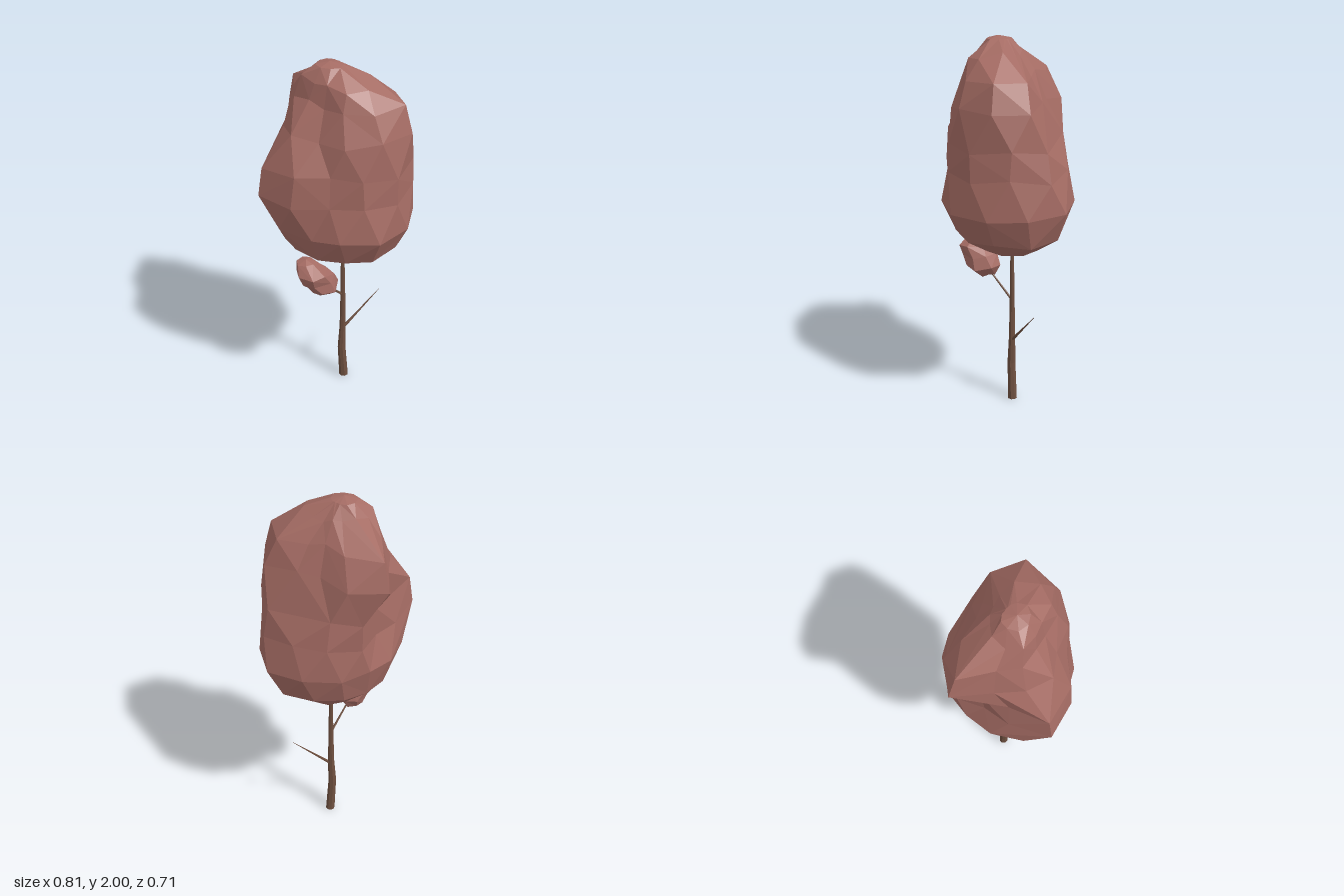
import * as THREE from 'three';

const V = (x, y, z) => new THREE.Vector3(x, y, z);

// Small seeded generator for irregular facets
function seeded(seed) {
  return () => {
    seed = (seed * 16807) % 2147483647;
    return seed / 2147483647 - 0.5;
  };
}

// Skin a stack of closed loops (bottom to top), closed by an end point at each end.
// Each quad is split along the diagonal that bulges outwards.
function loft(rings, bottom, top) {
  const pos = [];
  const tri = (...pts) => pts.forEach((p) => pos.push(p.x, p.y, p.z));
  const centre = bottom.clone().lerp(top, 0.5);
  const bulge = (p, q) => p.clone().lerp(q, 0.5).distanceTo(centre);
  const n = rings[0].length;
  for (let i = 0; i < n; i++) {
    const k = (i + 1) % n;
    tri(bottom, rings[0][i], rings[0][k]);
    for (let j = 0; j < rings.length - 1; j++) {
      const a = rings[j][i], b = rings[j][k], c = rings[j + 1][i], d = rings[j + 1][k];
      if (bulge(b, c) > bulge(a, d)) { tri(a, c, b); tri(b, c, d); }
      else { tri(a, c, d); tri(a, d, b); }
    }
    const last = rings[rings.length - 1];
    tri(top, last[k], last[i]);
  }
  const geo = new THREE.BufferGeometry();
  geo.setAttribute('position', new THREE.Float32BufferAttribute(pos, 3));
  geo.computeVertexNormals();
  return geo;
}

// Horizontal ellipse of n points
function ellipse(n, x, y, z, rx, rz, rand = () => 0) {
  return Array.from({ length: n }, (_, i) => {
    const a = (i / n) * Math.PI * 2 + rand() * 0.3;
    return V(x + Math.cos(a) * rx, y + rand() * 0.025, z + Math.sin(a) * rz);
  });
}

function part(name, geometry, material) {
  const mesh = new THREE.Mesh(geometry, material);
  mesh.name = name;
  return mesh;
}

export function createModel() {
  const tree = new THREE.Group();
  tree.name = 'tree';
  const leaf = new THREE.MeshStandardMaterial({ color: 0xa56c64, flatShading: true });
  const bark = new THREE.MeshStandardMaterial({ color: 0x6f5040, flatShading: true });

  // Crown: height, turn in degrees, then radii every 30 degrees from +x towards +z.
  // The upper back has a narrow lobe (240 degrees) beside a deep hollow (300-330).
  const crown = [
    [0.92, 0, 0.22, 0.20, 0.16, 0.12, 0.11, 0.12, 0.13, 0.12, 0.12, 0.16, 0.19, 0.21],
    [1.02, 6, 0.35, 0.33, 0.29, 0.27, 0.25, 0.26, 0.27, 0.25, 0.24, 0.27, 0.31, 0.35],
    [1.18, 10, 0.405, 0.395, 0.38, 0.335, 0.30, 0.34, 0.33, 0.30, 0.29, 0.32, 0.37, 0.42],
    [1.35, -8, 0.395, 0.39, 0.375, 0.34, 0.29, 0.35, 0.41, 0.29, 0.24, 0.30, 0.325, 0.35],
    [1.50, -8, 0.365, 0.385, 0.375, 0.33, 0.27, 0.33, 0.385, 0.26, 0.245, 0.31, 0.30, 0.285],
    [1.68, 6, 0.355, 0.385, 0.34, 0.28, 0.22, 0.27, 0.255, 0.26, 0.385, 0.31, 0.21, 0.24],
    [1.82, 6, 0.29, 0.345, 0.285, 0.22, 0.16, 0.16, 0.20, 0.22, 0.34, 0.22, 0.15, 0.17],
    [1.92, 0, 0.12, 0.165, 0.215, 0.195, 0.14, 0.14, 0.165, 0.145, 0.12, 0.09, 0.085, 0.09],
    [1.985, 0, 0.02, 0.03, 0.05, 0.08, 0.09, 0.10, 0.10, 0.08, 0.06, 0.035, 0.02, 0.02],
  ];
  const rand = seeded(23);
  const crownRings = crown.map(([y, turn, ...radii], j) => radii.map((r, i) => {
    const inner = j > 0 && j < crown.length - 1;
    const a = ((i * 30 + turn) * Math.PI) / 180 + (inner ? rand() * 0.06 : 0);
    return V(Math.cos(a) * r, y + (inner ? rand() * 0.04 : 0), Math.sin(a) * r);
  }));
  tree.add(part('crown', loft(crownRings, V(0.06, 0.895, -0.03), V(-0.035, 2, 0.02)), leaf));

  // Small leaf cluster leaning off the lower branch: x, y, z, x radius, z radius
  const clusterRand = seeded(7);
  const cluster = [
    [-0.10, 0.722, 0.065, 0.055, 0.05],
    [-0.095, 0.775, 0.08, 0.088, 0.095],
    [-0.13, 0.83, 0.085, 0.098, 0.095],
    [-0.155, 0.885, 0.10, 0.082, 0.092],
    [-0.182, 0.928, 0.07, 0.05, 0.045],
  ].map(([x, y, z, rx, rz]) => ellipse(7, x, y, z, rx, rz, clusterRand));
  tree.add(part('leafCluster', loft(cluster, V(-0.1, 0.708, 0.07), V(-0.18, 0.942, 0.07)), leaf));

  // Slightly bent, tapering trunk: x, y, radius
  const trunk = [
    [0.054, 0, 0.026], [0.041, 0.22, 0.023], [0.047, 0.38, 0.018],
    [0.047, 0.6, 0.014], [0.044, 0.95, 0.009],
  ].map(([x, y, r]) => ellipse(8, x, y, -0.022, r, r));
  tree.add(part('trunk', loft(trunk, V(0.054, 0, -0.022), V(0.044, 0.95, -0.022)), bark));

  // Thin tapering branches
  const branch = (name, from, to, r0, r1) => {
    const dir = to.clone().sub(from);
    const mesh = part(name, new THREE.CylinderGeometry(r1, r0, dir.length(), 5), bark);
    mesh.position.copy(from).addScaledVector(dir, 0.5);
    mesh.quaternion.setFromUnitVectors(V(0, 1, 0), dir.normalize());
    tree.add(mesh);
  };
  branch('bareBranch', V(0.05, 0.36, -0.021), V(0.265, 0.582, -0.04), 0.009, 0.001);
  branch('clusterBranch', V(0.044, 0.6, -0.021), V(-0.09, 0.76, 0.065), 0.007, 0.004);

  return tree;
}
